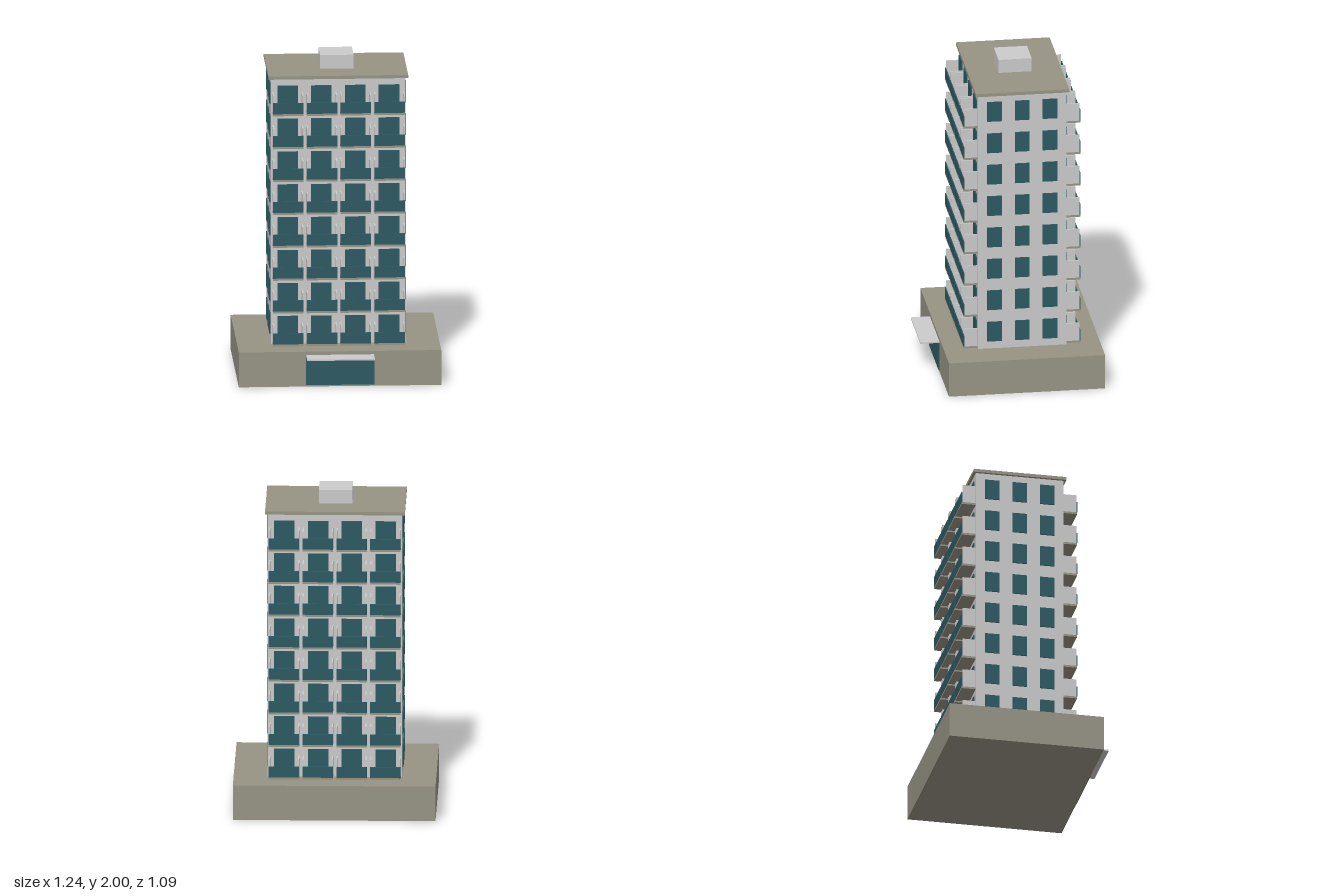
import * as THREE from 'three';

const mat = (name, color) => {
  const m = new THREE.MeshStandardMaterial({ color });
  m.name = name;
  return m;
};

export function createModel() {
  const wall = mat('light grey wall', 0xcbcbcb);
  const stone = mat('olive stone', 0x979485);
  const glass = mat('teal glass', 0x2d5a63);
  const model = new THREE.Group();
  model.name = 'apartmentTower';

  // Box given by its minimum and maximum on each axis
  const box = (parent, name, material, [x0, x1], [y0, y1], [z0, z1]) => {
    const mesh = new THREE.Mesh(new THREE.BoxGeometry(x1 - x0, y1 - y0, z1 - z0), material);
    mesh.position.set((x0 + x1) / 2, (y0 + y1) / 2, (z0 + z1) / 2);
    mesh.name = name;
    parent.add(mesh);
    return mesh;
  };

  // Podium with entrance
  box(model, 'podium', stone, [-0.622, 0.622], [0, 0.22], [-0.543, 0.425]);
  box(model, 'entranceGlass', glass, [-0.21, 0.21], [0.01, 0.19], [0.424, 0.431]);
  box(model, 'entranceCanopy', wall, [-0.208, 0.208], [0.19, 0.199], [0.42, 0.543]);

  // Tower body and roof
  const midZ = -0.059, halfX = 0.413, halfZ = 0.275;
  box(model, 'towerBody', wall, [-halfX, halfX], [0.22, 1.895], [midZ - halfZ, midZ + halfZ]);
  box(model, 'roofSlab', stone, [-0.429, 0.429], [1.894, 1.914], [midZ - 0.29, midZ + 0.29]);
  box(model, 'roofHouse', wall, [-0.103, 0.103], [1.914, 2], [midZ - 0.103, midZ + 0.103]);

  // One balcony: floor, two side panels, glass railing and the window behind
  const addBalcony = (parent, x, y) => {
    const bay = new THREE.Group();
    bay.name = 'balcony';
    bay.position.set(x, y, 0);
    parent.add(bay);
    const w = 0.0935, out = halfZ + 0.087;
    box(bay, 'balconyFloor', stone, [-w, w], [0.003, 0.016], [halfZ, out]);
    for (const s of [-1, 1]) {
      const x0 = s < 0 ? -w : w - 0.008;
      box(bay, 'balconySidePanel', wall, [x0, x0 + 0.008], [0.016, 0.131], [halfZ, out - 0.005]);
    }
    box(bay, 'balconyRailing', glass, [-w, w], [0.016, 0.085], [out - 0.005, out + 0.001]);
    box(bay, 'balconyWindow', glass, [-0.063, 0.063], [0.045, 0.175], [halfZ - 0.002, halfZ + 0.007]);
  };

  // Front and back facades are the same, turned about the tower axis
  for (const turn of [0, Math.PI]) {
    const facade = new THREE.Group();
    facade.name = turn ? 'backFacade' : 'frontFacade';
    facade.position.z = midZ;
    facade.rotation.y = turn;
    model.add(facade);
    for (let floor = 0; floor < 8; floor++) {
      const y = 0.222 + floor * 0.2079;
      for (let col = 0; col < 4; col++) addBalcony(facade, (col - 1.5) * 0.2075, y);
    }
  }

  // Side windows, three per floor on each side
  for (const s of [-1, 1]) {
    const side = new THREE.Group();
    side.name = s < 0 ? 'rightWindows' : 'leftWindows';
    model.add(side);
    const xs = s < 0 ? [-halfX - 0.007, -halfX + 0.002] : [halfX - 0.002, halfX + 0.007];
    for (let floor = 0; floor < 8; floor++) {
      const y = 0.222 + floor * 0.2079;
      for (let col = -1; col <= 1; col++) {
        const z = midZ + col * 0.172;
        box(side, 'sideWindow', glass, xs, [y + 0.046, y + 0.175], [z - 0.045, z + 0.045]);
      }
    }
  }
  return model;
}
